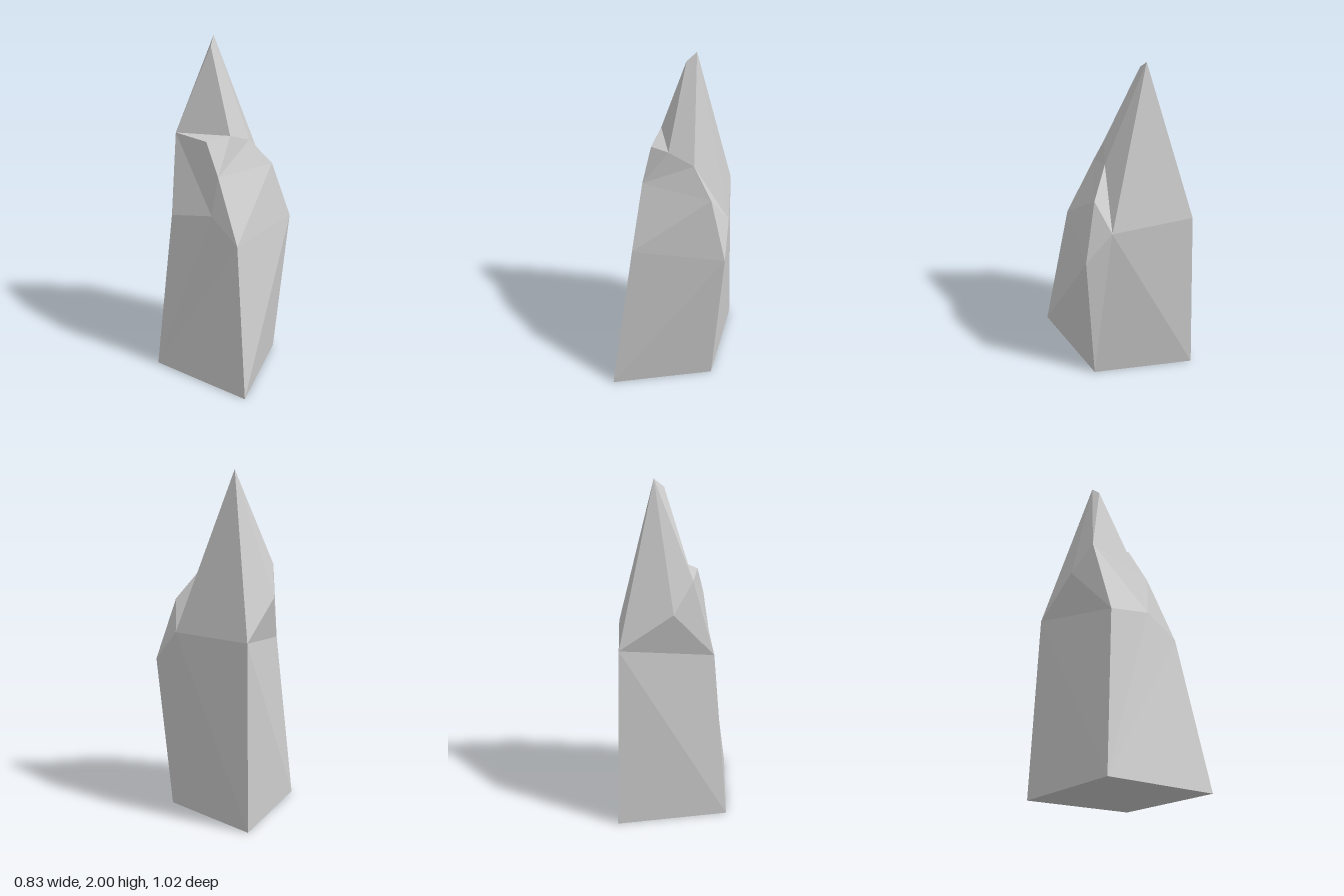
import * as THREE from 'three';

// Named corners of the faceted shard
const corners = {
  // base diamond
  F0: [-0.01, 0, 0.51], R0: [0.33, 0, 0], B0: [-0.01, 0, -0.51], L0: [-0.42, 0, 0],
  // shoulder ring
  F1: [-0.01, 0.91, 0.33], R1: [0.415, 0.91, 0], P: [0.32, 1.09, -0.12],
  B1: [-0.01, 1.09, -0.47], L1: [-0.31, 1.0, 0], Y: [-0.12, 1.05, 0.185],
  // chipped ledges
  Q: [0.295, 1.26, 0], X: [0.155, 1.42, 0], W: [-0.08, 1.28, 0.18],
  V: [-0.12, 1.46, 0.075], U: [0.02, 1.48, 0.07], T: [-0.25, 1.46, -0.12], Z: [-0.22, 1.29, -0.25],
  // tip
  S: [-0.04, 1.95, -0.12], A: [-0.01, 2, -0.17],
};

// Each part lists its facets, corners counter-clockwise from outside
const parts = {
  base: ['F0 L0 B0 R0'],
  lowerShaft: [
    'F0 R0 R1 F1', 'L0 F0 F1 Y L1', 'P R1 R0 B0 B1', 'L0 L1 B1 B0',
  ],
  shoulder: [
    'F1 R1 Q W', 'F1 W Y', 'T Y W V', 'T L1 Y', 'R1 P Q', 'B1 L1 Z', 'Z L1 T',
  ],
  chippedLedge: ['W Q X U', 'W U V', 'T V U'],
  tip: ['U X A S', 'S T U', 'P B1 A X Q', 'B1 Z A', 'A Z T S'],
};

// Splits each facet into a fan of triangles
function facetGeometry(facets) {
  const positions = [];
  for (const facet of facets) {
    const points = facet.split(' ').map((key) => corners[key]);
    for (let i = 1; i < points.length - 1; i++) {
      positions.push(...points[0], ...points[i], ...points[i + 1]);
    }
  }
  const geometry = new THREE.BufferGeometry();
  geometry.setAttribute('position', new THREE.Float32BufferAttribute(positions, 3));
  geometry.computeVertexNormals();
  return geometry;
}

export function createModel() {
  const group = new THREE.Group();
  group.name = 'crystalShard';
  const material = new THREE.MeshStandardMaterial({ color: 0xcccccc, flatShading: true });
  for (const [name, facets] of Object.entries(parts)) {
    const mesh = new THREE.Mesh(facetGeometry(facets), material);
    mesh.name = name;
    group.add(mesh);
  }
  return group;
}
